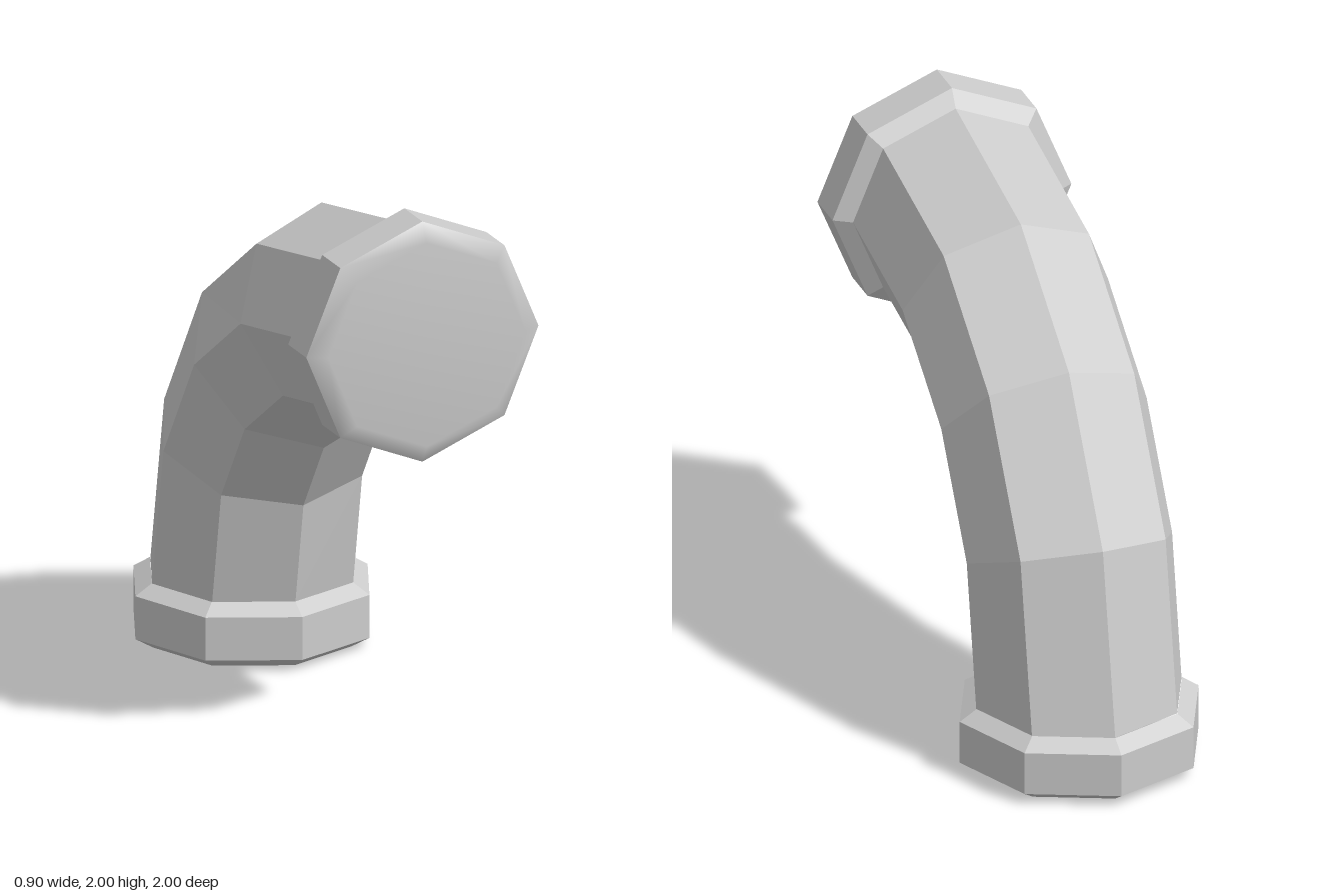
import * as THREE from 'three';

const SIDES = 8;
const HALF_WIDTH = 0.385;

// Bend cross-sections as [outer z, outer y, inner z, inner y]
const RINGS = [
  [-0.93, 0.24, -0.16, 0.24],
  [-0.80, 0.91, -0.09, 0.62],
  [-0.44, 1.45, 0.09, 0.89],
  [0.07, 1.80, 0.40, 1.10],
  [0.76, 1.94, 0.76, 1.17],
];

const flat = new THREE.MeshStandardMaterial({ color: 0xcccccc, flatShading: true });
const smooth = new THREE.MeshStandardMaterial({ color: 0xcccccc });

function part(name, geometry, material) {
  const mesh = new THREE.Mesh(geometry, material);
  mesh.name = name;
  return mesh;
}

function lathe(points) {
  return new THREE.LatheGeometry(points.map(([r, y]) => new THREE.Vector2(r, y)), SIDES);
}

// Eight-sided tube skinned over the slanted cross-sections
function bendGeometry() {
  const positions = [];
  const index = [];
  for (const [oz, oy, iz, iy] of RINGS) {
    for (let j = 0; j < SIDES; j++) {
      const a = (j / SIDES) * Math.PI * 2;
      const c = Math.cos(a) / 2;
      positions.push(
        HALF_WIDTH * Math.sin(a),
        (oy + iy) / 2 + (oy - iy) * c,
        (oz + iz) / 2 + (oz - iz) * c,
      );
    }
  }
  for (let i = 0; i < RINGS.length - 1; i++) {
    for (let j = 0; j < SIDES; j++) {
      const k = (j + 1) % SIDES;
      const a = i * SIDES + j, b = i * SIDES + k;
      index.push(a, a + SIDES, b, b, a + SIDES, b + SIDES);
    }
  }
  const geometry = new THREE.BufferGeometry();
  geometry.setAttribute('position', new THREE.Float32BufferAttribute(positions, 3));
  geometry.setIndex(index);
  const faceted = geometry.toNonIndexed();
  faceted.computeVertexNormals();
  return faceted;
}

// Raised end collar: faceted band plus a softly shaded closed end
function collar(name) {
  const group = new THREE.Group();
  group.name = name;
  group.add(
    part(name + 'Band', lathe([[0.448, 0.04], [0.448, 0.2], [HALF_WIDTH, 0.24]]), flat),
    part(name + 'Cap', lathe([[0, 0], [0.38, 0], [0.448, 0.04]]), smooth),
  );
  return group;
}

export function createModel() {
  const model = new THREE.Group();
  model.name = 'elbowPipe';
  model.add(part('bend', bendGeometry(), flat));

  const base = collar('baseCollar');
  base.position.z = -0.548;
  model.add(base);

  const front = collar('frontCollar');
  front.rotation.x = -Math.PI / 2;
  front.position.set(0, 1.555, 1);
  model.add(front);
  return model;
}
